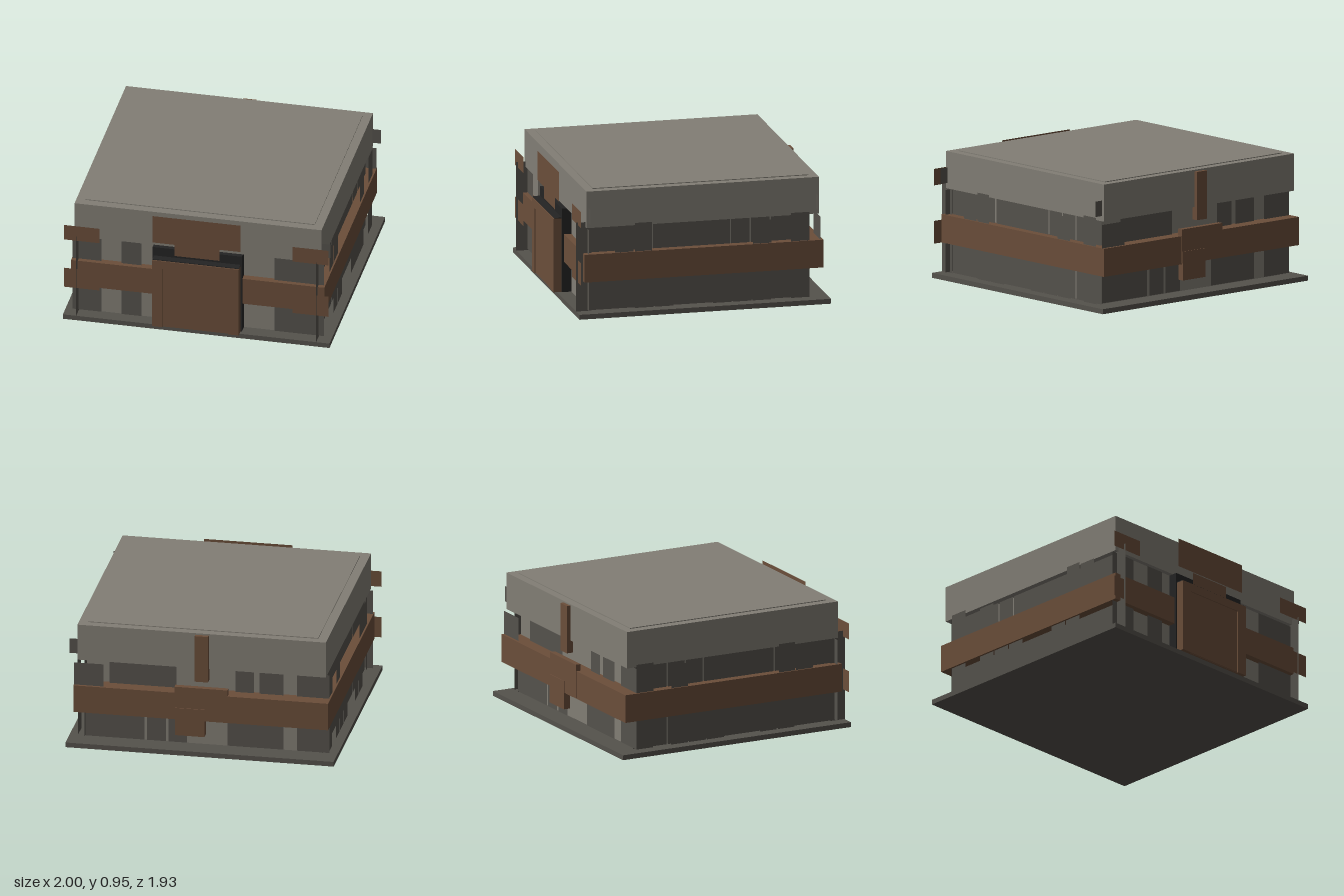
import * as THREE from 'three';

export function createModel() {
  const group = new THREE.Group();
  const mat = (name, color, side = THREE.FrontSide) => {
    const m = new THREE.MeshStandardMaterial({ color, side });
    m.name = name;
    return m;
  };
  const concrete = mat('concrete', 0x827e75);
  const steel = mat('darkSteel', 0x55524c, THREE.DoubleSide);
  const rust = mat('rust', 0x6b4e3a, THREE.DoubleSide);
  const black = mat('black', 0x242424);

  // box given by its extents
  const box = (name, m, x0, x1, y0, y1, z0, z1) => {
    const mesh = new THREE.Mesh(new THREE.BoxGeometry(x1 - x0, y1 - y0, z1 - z0), m);
    mesh.position.set((x0 + x1) / 2, (y0 + y1) / 2, (z0 + z1) / 2);
    mesh.name = name;
    group.add(mesh);
  };
  // thin sheets facing z or x
  const sheetZ = (name, m, x0, x1, y0, y1, z) => {
    const mesh = new THREE.Mesh(new THREE.PlaneGeometry(x1 - x0, y1 - y0), m);
    mesh.position.set((x0 + x1) / 2, (y0 + y1) / 2, z);
    mesh.name = name;
    group.add(mesh);
  };
  const sheetX = (name, m, z0, z1, y0, y1, x) => {
    const mesh = new THREE.Mesh(new THREE.PlaneGeometry(z1 - z0, y1 - y0), m);
    mesh.rotation.y = Math.PI / 2;
    mesh.position.set(x, (y0 + y1) / 2, (z0 + z1) / 2);
    mesh.name = name;
    group.add(mesh);
  };

  // main masses
  box('basePlate', steel, -1, 1, 0, 0.037, -0.965, 0.935);
  box('walls', concrete, -0.87, 0.87, 0.037, 0.68, -0.8, 0.83);
  box('roof', concrete, -0.928, 0.925, 0.67, 0.947, -0.893, 0.865);
  box('roofPanel', concrete, -0.86, 0.86, 0.947, 0.953, -0.83, 0.8);

  // rust band round the walls
  const b0 = 0.265, b1 = 0.475;
  box('bandFront', rust, -0.95, 0.95, b0, b1, 0.82, 0.885);
  box('bandBack', rust, -0.95, 0.95, b0, b1, -0.92, -0.79);
  for (const s of [-1, 1]) {
    box('bandSide', rust, Math.min(s * 0.86, s * 0.95), Math.max(s * 0.86, s * 0.95), b0, b1, -0.8, 0.83);
  }

  // side cladding: full sheets close to the wall, strips standing off it
  for (const s of [-1, 1]) {
    for (const [z0, z1] of [[0.365, 0.83], [-0.23, 0.35], [-0.38, -0.24], [-0.53, -0.39], [-0.82, -0.54]]) {
      sheetX('sideSheet', steel, z0, z1, 0.037, 0.67, s * 0.885);
    }
    for (const [z0, z1] of [[0.36, 0.5], [0.21, 0.35], [-0.23, -0.09], [-0.38, -0.24], [-0.53, -0.39], [-0.82, -0.68]]) {
      sheetX('lowerSideStrip', steel, z0, z1, 0.045, 0.3, s * 0.935);
    }
    for (const [z0, z1, y0, y1] of [[0.51, 0.65, 0.46, 0.67], [0.37, 0.5, 0.46, 0.69], [-0.53, -0.39, 0.44, 0.65], [-0.82, -0.68, 0.44, 0.69]]) {
      sheetX('upperSideStrip', steel, z0, z1, y0, y1, s * 0.938);
    }
    // corner fins
    sheetX('cornerFin', steel, 0.82, 0.937, 0.037, 0.71, s * 0.9);
  }
  for (const z of [0.85, -0.87]) sheetZ('roofTab', steel, 0.925, 0.99, 0.71, 0.825, z);

  // front cladding
  for (const [x0, x1] of [[-0.945, -0.73], [-0.58, -0.43], [0.57, 0.72], [0.72, 0.94]]) {
    sheetZ('frontPanel', steel, x0, x1, 0.045, 0.66, 0.85);
  }
  for (const [x0, x1, y0, y1] of [[-0.995, -0.73, 0.665, 0.787], [0.72, 0.99, 0.69, 0.813], [0.72, 0.99, 0.255, 0.425], [-0.995, -0.73, 0.265, 0.425]]) {
    sheetZ('frontPlate', rust, x0, x1, y0, y1, 0.922);
  }

  // doorway with its two plates above
  box('doorFrame', black, -0.335, 0.335, 0.037, 0.67, 0.83, 0.9);
  box('doorBody', rust, -0.325, 0.325, 0.037, 0.594, 0.9, 0.95);
  box('doorTop', black, -0.325, 0.325, 0.594, 0.6, 0.9, 0.955);
  box('doorPanel', rust, -0.24, 0.24, 0.04, 0.53, 0.95, 0.956);
  for (const s of [-1, 1]) box('doorJamb', rust, s * 0.285 - 0.04, s * 0.285 + 0.04, 0.037, 0.594, 0.95, 0.963);
  box('doorLintel', rust, -0.245, 0.245, 0.53, 0.594, 0.95, 0.963);
  sheetZ('upperPlate', rust, -0.33, 0.33, 0.72, 0.943, 0.92);
  sheetZ('lowerPlate', rust, -0.17, 0.17, 0.62, 0.72, 0.91);

  // back cladding
  for (const [x0, x1, y0, y1] of [
    [0.44, 0.88, 0.045, 0.3], [0.28, 0.42, 0.045, 0.3], [0.12, 0.26, 0.045, 0.3],
    [-0.6, -0.18, 0.045, 0.3], [-0.94, -0.7, 0.045, 0.3],
    [0.2, 0.7, 0.44, 0.66], [-0.38, -0.24, 0.44, 0.66], [-0.6, -0.42, 0.44, 0.66], [-0.94, -0.7, 0.44, 0.66],
  ]) sheetZ('backPanel', steel, x0, x1, y0, y1, -0.82);
  sheetZ('backCornerPlate', steel, 0.73, 0.95, 0.46, 0.65, -0.9);
  box('backPost', rust, -0.055, 0.045, 0.575, 0.935, -0.922, -0.87);
  box('backPlate', rust, -0.2, 0.195, 0.27, 0.525, -0.926, -0.885);
  box('backLowerPlate', rust, -0.03, 0.19, 0.145, 0.36, -0.932, -0.88);

  return group;
}
